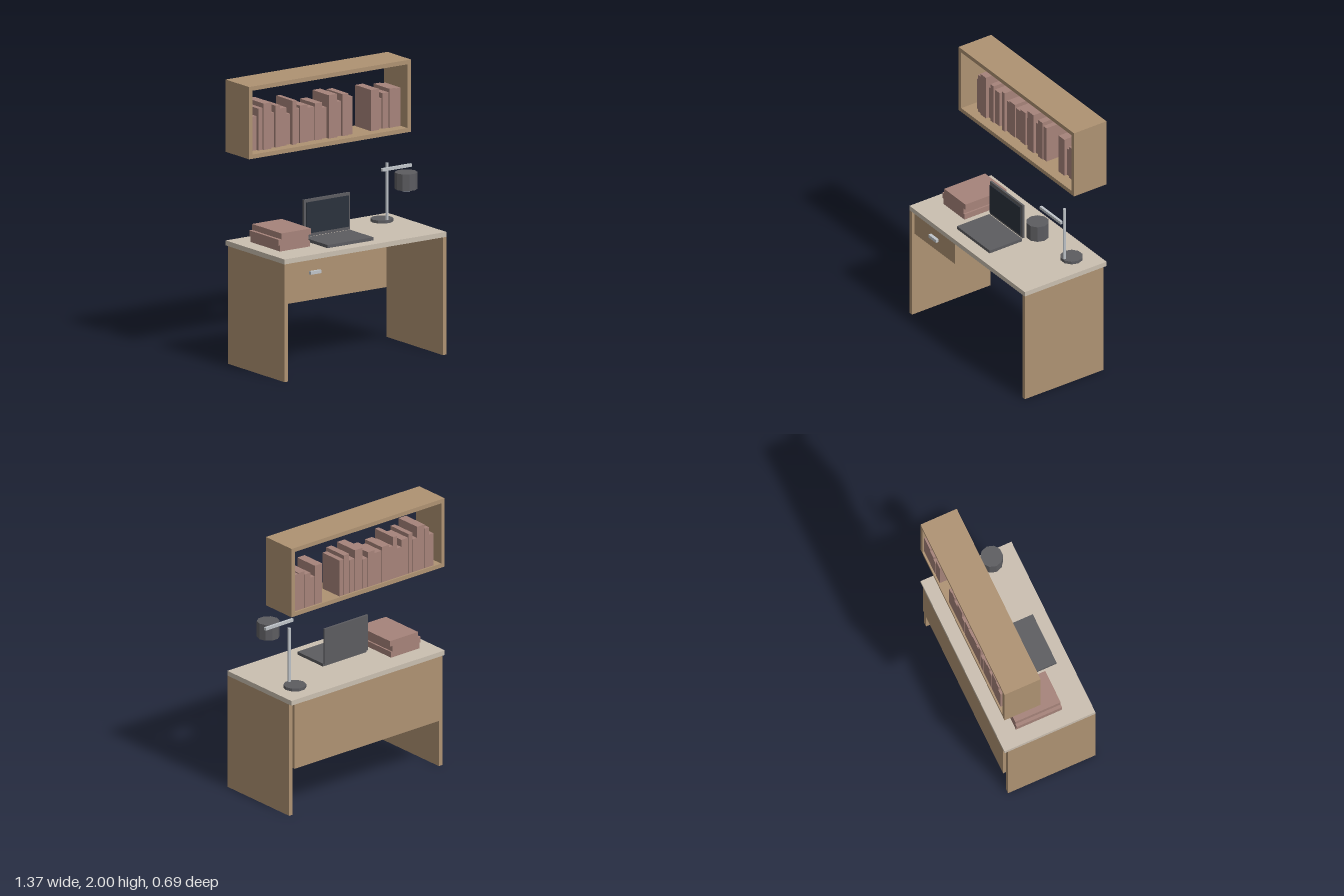
import * as THREE from 'three';

function material(name, color) {
  const m = new THREE.MeshStandardMaterial({ color });
  m.name = name;
  return m;
}

export function createModel() {
  const model = new THREE.Group();
  model.name = 'deskWithShelf';

  const wood = material('wood', 0xae9272);
  const topMat = material('paleTop', 0xcabfb0);
  const cover = material('bookCover', 0xa6837a);
  const dark = material('darkGrey', 0x5c5c60);
  const metal = material('lightMetal', 0xbfc4c9);
  const glass = material('screenGlass', 0x2a313c);
  dark.flatShading = true;
  metal.flatShading = true;

  function group(name) {
    const g = new THREE.Group();
    g.name = name;
    model.add(g);
    return g;
  }

  // Box given by its lower and upper limits on each axis
  function box(parent, name, mat, [x0, x1], [y0, y1], [z0, z1]) {
    const mesh = new THREE.Mesh(new THREE.BoxGeometry(x1 - x0, y1 - y0, z1 - z0), mat);
    mesh.position.set((x0 + x1) / 2, (y0 + y1) / 2, (z0 + z1) / 2);
    mesh.name = name;
    parent.add(mesh);
  }

  // Upright faceted cylinder between two heights
  function post(parent, name, mat, r, [y0, y1], x, z, sides) {
    const mesh = new THREE.Mesh(new THREE.CylinderGeometry(r, r, y1 - y0, sides), mat);
    mesh.position.set(x, (y0 + y1) / 2, z);
    mesh.rotation.y = Math.PI / 2;
    mesh.name = name;
    parent.add(mesh);
  }

  // Desk
  const W = 0.685, IN = 0.655, D = 0.343, TOP = 0.865;
  const desk = group('desk');
  box(desk, 'deskTop', topMat, [-W, W], [0.83, TOP], [-D, D]);
  box(desk, 'leftSide', wood, [IN, W], [0, 0.83], [-0.317, D]);
  box(desk, 'rightSide', wood, [-W, -IN], [0, 0.83], [-0.317, D]);
  box(desk, 'backPanel', wood, [-IN, IN], [0.35, 0.83], [-0.34, -0.317]);
  box(desk, 'drawer', wood, [-IN, -0.175], [0.645, 0.83], [-0.317, 0.32]);
  box(desk, 'drawerHandle', metal, [-0.46, -0.37], [0.725, 0.747], [0.32, D]);

  // Wall shelf, open at front and back
  const shelf = group('shelf');
  const shelfZ = [-D, -0.07];
  box(shelf, 'shelfTop', wood, [-W, W], [1.97, 2], shelfZ);
  box(shelf, 'shelfBottom', wood, [-W, W], [1.49, 1.52], shelfZ);
  box(shelf, 'shelfLeftSide', wood, [IN, W], [1.52, 1.97], shelfZ);
  box(shelf, 'shelfRightSide', wood, [-W, -IN], [1.52, 1.97], shelfZ);

  // Shelf books as [width, height], standing side by side
  const rows = [
    { x: -0.594, books: [[0.037, 0.24], [0.037, 0.295], [0.066, 0.327], [0.038, 0.245],
      [0.038, 0.295], [0.058, 0.268], [0.038, 0.216], [0.034, 0.31], [0.034, 0.245],
      [0.063, 0.263], [0.063, 0.237], [0.058, 0.26], [0.043, 0.218], [0.068, 0.306],
      [0.048, 0.245], [0.048, 0.295], [0.037, 0.268]] },
    { x: 0.4, books: [[0.066, 0.29], [0.036, 0.213], [0.05, 0.25], [0.052, 0.276], [0.046, 0.27]] },
  ];
  const shelfBooks = group('shelfBooks');
  for (const { x: start, books } of rows) {
    let x = start;
    for (const [w, h] of books) {
      const depth = 0.1 + h * 0.3;
      box(shelfBooks, 'book', cover, [x, x + w], [1.52, 1.52 + h], [-0.33, -0.33 + depth]);
      x += w + 0.002;
    }
  }

  // Pile of books on the desk
  const pile = group('bookPile');
  [-0.573, -0.585, -0.562].forEach((x, i) => {
    const y = TOP + i * 0.042;
    box(pile, 'pileBook', cover, [x, x + 0.252], [y, y + 0.042], [-0.205, 0.138]);
  });

  // Laptop
  const laptop = group('laptop');
  const lx = [-0.253, 0.136];
  box(laptop, 'laptopBase', dark, lx, [TOP, 0.887], [-0.022, 0.25]);
  box(laptop, 'laptopLid', dark, lx, [0.887, 1.15], [-0.042, -0.027]);
  box(laptop, 'laptopScreen', glass, [-0.238, 0.121], [0.912, 1.132], [-0.02, -0.014]);

  // Desk lamp
  const lamp = group('lamp');
  const X = 0.512;
  post(lamp, 'lampBase', dark, 0.079, [TOP, 0.886], X, -0.172, 10);
  post(lamp, 'lampPole', metal, 0.011, [TOP, 1.287], X, -0.111, 8);
  box(lamp, 'lampArm', metal, [0.388, 0.636], [1.266, 1.287], [-0.01, 0.009]);
  post(lamp, 'lampHead', dark, 0.079, [1.15, 1.267], X, 0.113, 10);
  post(lamp, 'lampBulb', metal, 0.047, [1.14, 1.15], X, 0.113, 10);

  return model;
}
